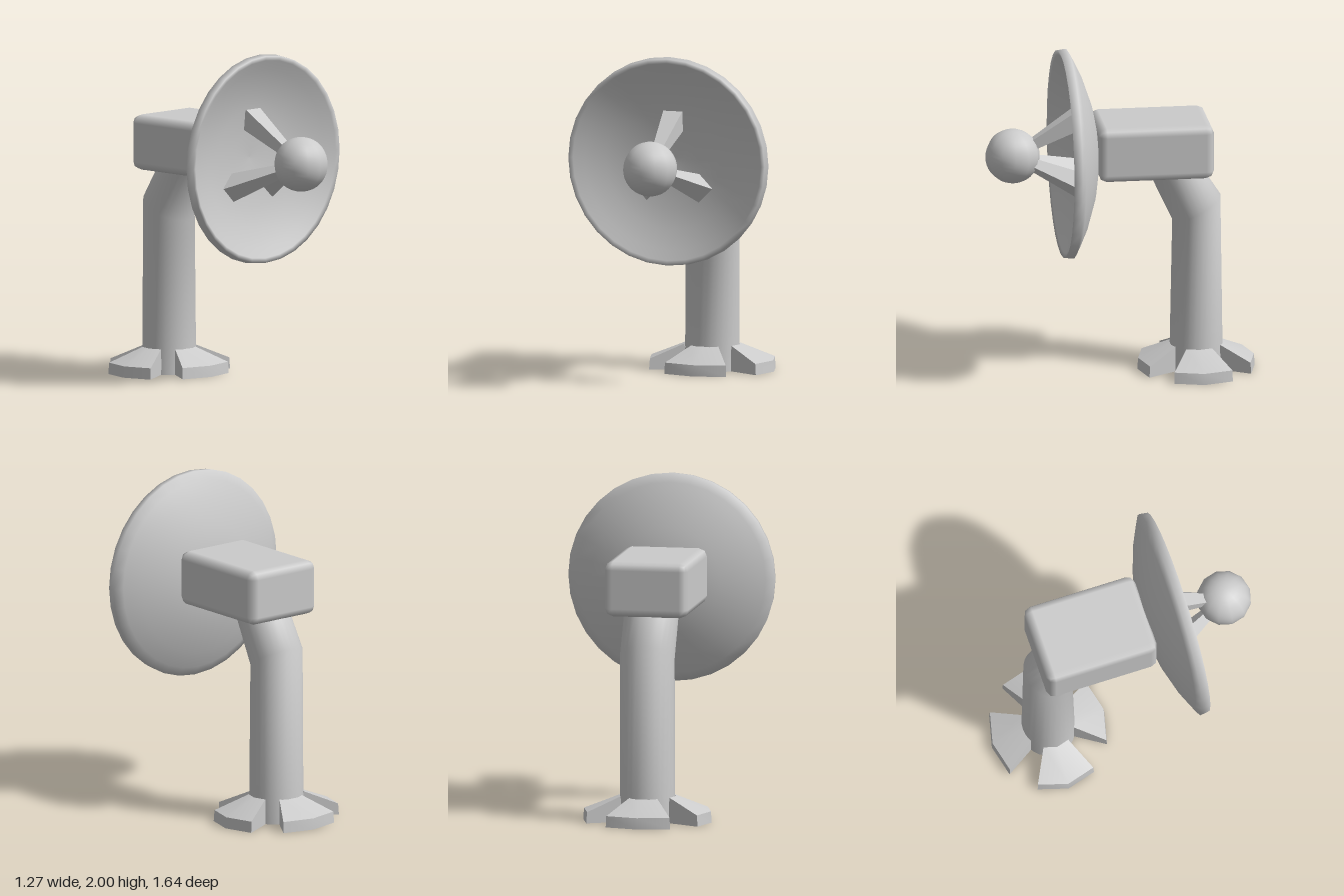
import * as THREE from 'three';
import { toCreasedNormals } from 'three/addons/utils/BufferGeometryUtils.js';
import { RoundedBoxGeometry } from 'three/addons/geometries/RoundedBoxGeometry.js';

const AXIS_Y = 1.367; // height of the dish axis
const POST_Z = -0.459; // centre of the post and feet

export function createModel() {
  const model = new THREE.Group();
  const grey = new THREE.MeshStandardMaterial({ color: 0xcccccc });
  const add = (name, geometry, parent = model) => {
    const mesh = new THREE.Mesh(geometry, grey);
    mesh.name = name;
    parent.add(mesh);
    return mesh;
  };

  // Dish: closed shell turned about the z axis
  const profile = [
    [0, 0.142], [0.16, 0.15], [0.32, 0.182], [0.48, 0.236], [0.58, 0.284], [0.634, 0.312],
    [0.627, 0.363], [0.6, 0.355], [0.54, 0.322], [0.42, 0.276], [0.3, 0.245], [0.15, 0.225], [0, 0.218],
  ].map(([r, z]) => new THREE.Vector2(r, z));
  const dish = add('dish', new THREE.LatheGeometry(profile, 32).rotateX(Math.PI / 2));
  dish.position.y = AXIS_Y;

  // Receiver ball in front of the dish
  add('receiverBall', new THREE.SphereGeometry(0.165, 12, 20)).position.set(0, AXIS_Y, 0.655);

  // Three square struts tapering from the bowl to the ball
  const struts = new THREE.Group();
  struts.name = 'struts';
  struts.position.y = AXIS_Y;
  model.add(struts);
  for (const degrees of [90, -45, -135]) {
    const a = THREE.MathUtils.degToRad(degrees);
    const foot = new THREE.Vector3(0.243 * Math.cos(a), 0.243 * Math.sin(a), 0.22);
    const tip = new THREE.Vector3(0.07 * Math.cos(a), 0.07 * Math.sin(a), 0.53);
    const along = tip.clone().sub(foot);
    const length = along.length();
    const geometry = new THREE.CylinderGeometry(0.042, 0.086, length, 4, 1).rotateY(Math.PI / 4);
    const strut = add('strut', toCreasedNormals(geometry, 0.5), struts);
    along.normalize();
    const side = new THREE.Vector3(-Math.sin(a), Math.cos(a), 0);
    const out = side.clone().cross(along);
    strut.quaternion.setFromRotationMatrix(new THREE.Matrix4().makeBasis(side, along, out));
    strut.position.copy(foot).add(tip).multiplyScalar(0.5);
  }

  // Housing behind the dish
  add('housing', new RoundedBoxGeometry(0.51, 0.335, 0.7, 1, 0.05)).position.set(0, 1.41, -0.19);

  // Post: three rings, the middle one tilted where the post bends forward
  const rings = [
    { y: 0, z: POST_Z, depth: 0.162, tilt: 0 },
    { y: 1.005, z: -0.461, depth: 0.145, tilt: -0.52 },
    { y: 1.25, z: -0.33, depth: 0.165, tilt: 0 },
  ];
  const post = new THREE.CylinderGeometry(0.165, 0.165, 2, 28, 2);
  const p = post.attributes.position;
  for (let i = 0; i < p.count; i++) {
    const ring = rings[Math.round(p.getY(i) + 1)];
    const dz = p.getZ(i) / 0.165 * ring.depth;
    p.setXYZ(i, p.getX(i), ring.y + dz * ring.tilt, ring.z + dz);
  }
  add('post', toCreasedNormals(post, 0.8));

  // Four wedge feet around the post
  const feet = new THREE.Group();
  feet.name = 'feet';
  feet.position.z = POST_Z;
  feet.scale.set(1.05, 1, 0.95);
  model.add(feet);
  for (let k = 0; k < 4; k++) {
    add('foot', footGeometry(), feet).rotation.y = k * Math.PI / 2;
  }
  return model;
}

// Wedge with a sloping top: a cross-section swept through 60 degrees in two steps
function footGeometry() {
  const section = [[0.15, 0], [0.375, 0], [0.37, 0.068], [0.165, 0.155]];
  const positions = [];
  const index = [];
  for (let s = 0; s < 3; s++) {
    const a = (s - 1) * Math.PI / 6;
    for (const [r, y] of section) positions.push(r * Math.sin(a), y, r * Math.cos(a));
  }
  for (let s = 0; s < 2; s++) {
    for (let j = 0; j < 4; j++) {
      const a = s * 4 + j;
      const b = s * 4 + (j + 1) % 4;
      index.push(a, a + 4, b, b, a + 4, b + 4);
    }
  }
  index.push(0, 1, 2, 0, 2, 3, 8, 10, 9, 8, 11, 10); // end faces
  const geometry = new THREE.BufferGeometry();
  geometry.setAttribute('position', new THREE.Float32BufferAttribute(positions, 3));
  geometry.setIndex(index);
  return toCreasedNormals(geometry, 0.9);
}
